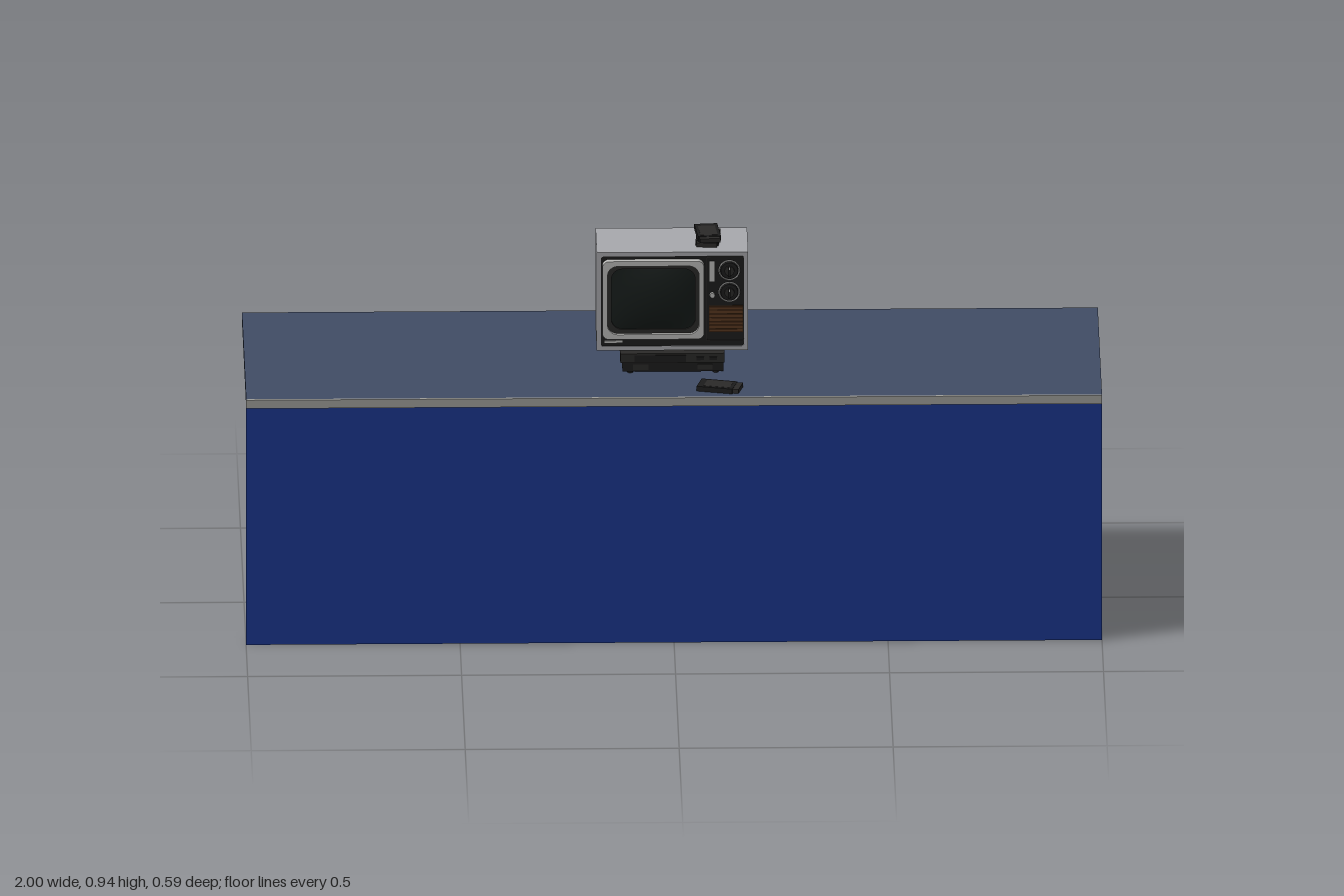
import * as THREE from 'three';
import { toCreasedNormals } from 'three/addons/utils/BufferGeometryUtils.js';

const mat = (color, side = THREE.FrontSide) => new THREE.MeshStandardMaterial({ color, side });
const blue = mat(0x1b378f), slate = mat(0x414d66), trim = mat(0xa0a09c), cabinetGrey = mat(0xa9aaae);
const black = mat(0x1c1c1c), charcoal = mat(0x2b2a29), silver = mat(0xbcbcba), glass = mat(0x161c1a);
const wood = mat(0x5a3820), darkWood = mat(0x38220f);

function add(parent, name, geometry, material, x = 0, y = 0, z = 0) {
  const mesh = new THREE.Mesh(geometry, material);
  mesh.name = name;
  mesh.position.set(x, y, z);
  parent.add(mesh);
  return mesh;
}

// Box given by its limits on each axis
function box(parent, name, material, x0, x1, y0, y1, z0, z1) {
  return add(parent, name, new THREE.BoxGeometry(x1 - x0, y1 - y0, z1 - z0), material,
    (x0 + x1) / 2, (y0 + y1) / 2, (z0 + z1) / 2);
}

// Rounded rectangle outline, centred on the origin
function roundRect(w, h, r, PathType = THREE.Shape) {
  const p = new PathType(), a = w / 2 - r, b = h / 2 - r;
  p.absarc(a, b, r, 0, Math.PI / 2);
  p.absarc(-a, b, r, Math.PI / 2, Math.PI);
  p.absarc(-a, -b, r, Math.PI, Math.PI * 1.5);
  p.absarc(a, -b, r, Math.PI * 1.5, Math.PI * 2);
  p.closePath();
  return p;
}

// Flat frame with a rounded opening
function frame(w, h, r, iw, ih, ir, depth) {
  const shape = roundRect(w, h, r);
  shape.holes.push(roundRect(iw, ih, ir, THREE.Path));
  return new THREE.ExtrudeGeometry(shape, { depth, bevelEnabled: false, curveSegments: 6 });
}

// Loft through rounded rectangles [w, h, r, y, z], listed front to back, closed at the back
function loft(sections) {
  const pos = [], index = [], n = 24;
  for (const [w, h, r, y, z] of sections) {
    for (let i = 0; i < n; i++) {
      const q = Math.floor(i / 6), a = (q + (i % 6) / 5) * Math.PI / 2;
      const sx = q === 0 || q === 3 ? 1 : -1, sy = q < 2 ? 1 : -1;
      pos.push(sx * (w / 2 - r) + r * Math.cos(a), y + sy * (h / 2 - r) + r * Math.sin(a), z);
    }
  }
  for (let s = 0; s < sections.length - 1; s++) {
    for (let i = 0; i < n; i++) {
      const a = s * n + i, b = s * n + (i + 1) % n;
      index.push(a, a + n, b, b, a + n, b + n);
    }
  }
  const last = (sections.length - 1) * n;
  for (let i = 1; i < n - 1; i++) index.push(last, last + i + 1, last + i);
  const g = new THREE.BufferGeometry();
  g.setAttribute('position', new THREE.Float32BufferAttribute(pos, 3));
  g.setIndex(index);
  return toCreasedNormals(g, 0.5);
}

// Cassette lying flat, long along z, with a narrower grip and a raised rim
function cartridge(name, x, y, z, angle) {
  const g = new THREE.Group();
  g.name = name;
  box(g, 'cartridgeShell', black, -0.027, 0.027, 0, 0.012, -0.05, 0.036);
  box(g, 'cartridgeGrip', charcoal, -0.024, 0.024, 0.001, 0.011, 0.036, 0.05);
  box(g, 'cartridgeLabel', charcoal, -0.02, 0.02, 0.012, 0.0125, -0.035, 0.028);
  g.position.set(x, y, z);
  g.rotation.y = angle;
  return g;
}

function createDesk() {
  const g = new THREE.Group();
  g.name = 'desk';
  box(g, 'deskTop', slate, -1, 1, 0.592, 0.612, -0.297, 0.29);
  box(g, 'frontEdgeTrim', trim, -1, 1, 0.592, 0.613, 0.29, 0.297);
  box(g, 'frontPanel', blue, -1, 1, 0, 0.592, 0.258, 0.287);
  return g;
}

function createConsole() {
  const g = new THREE.Group();
  g.name = 'console';
  box(g, 'consoleBase', black, -0.118, 0.118, 0.617, 0.64, -0.045, 0.13);
  box(g, 'consoleLid', charcoal, -0.123, 0.121, 0.64, 0.663, -0.045, 0.134);
  box(g, 'consoleDoor', black, -0.09, 0.03, 0.643, 0.659, 0.134, 0.136);
  for (const x of [0.055, 0.085]) box(g, 'consoleButton', black, x, x + 0.018, 0.647, 0.655, 0.134, 0.137);
  for (const x of [-0.075, 0.075]) box(g, 'controllerPort', charcoal, x - 0.018, x + 0.018, 0.622, 0.635, 0.13, 0.132);
  for (const x of [-0.1, 0.1]) for (const z of [-0.033, 0.118])
    add(g, 'consoleFoot', new THREE.CylinderGeometry(0.007, 0.007, 0.006, 12), black, x, 0.6145, z);
  return g;
}

function createTelevision() {
  const g = new THREE.Group();
  g.name = 'television';
  const midY = 0.79;

  // Cabinet with a raised rim around the dark front
  box(g, 'cabinet', cabinetGrey, -0.178, 0.176, 0.668, 0.912, -0.04, 0.118);
  add(g, 'frontRim', frame(0.354, 0.244, 0.001, 0.334, 0.224, 0.006, 0.008), cabinetGrey, -0.001, midY, 0.117);
  box(g, 'frontPanel', black, -0.17, 0.168, 0.676, 0.904, 0.116, 0.122);
  add(g, 'rearHousing', loft([
    [0.292, 0.207, 0.014, 0.791, -0.039],
    [0.288, 0.203, 0.014, 0.792, -0.044],
    [0.198, 0.137, 0.014, 0.798, -0.131],
    [0.19, 0.129, 0.012, 0.798, -0.135],
  ]), charcoal);

  // Screen surround and bulging glass
  const sx = -0.046, sy = 0.797;
  add(g, 'screenSurround', frame(0.238, 0.194, 0.016, 0.214, 0.17, 0.024, 0.017), silver, sx, sy, 0.121);
  add(g, 'screenInnerBezel', frame(0.216, 0.172, 0.02, 0.196, 0.15, 0.026, 0.008), charcoal, sx, sy, 0.121);
  const screen = new THREE.PlaneGeometry(0.2, 0.156, 12, 10), p = screen.attributes.position;
  for (let i = 0; i < p.count; i++) {
    const u = p.getX(i) / 0.1, v = p.getY(i) / 0.078;
    p.setZ(i, 0.01 * (1 - u * u) * (1 - v * v));
  }
  screen.computeVertexNormals();
  add(g, 'screen', screen, glass, sx, sy, 0.1245);
  box(g, 'trimStrip', silver, -0.16, -0.118, 0.687, 0.692, 0.122, 0.124);

  // Tuning knobs: ring, dial and grip
  add(g, 'controlPanel', frame(0.09, 0.21, 0.004, 0.086, 0.206, 0.003, 0.003), charcoal, 0.123, 0.796, 0.122);
  for (const y of [0.866, 0.812]) {
    const knob = new THREE.Group();
    knob.name = 'tuningKnob';
    add(knob, 'knobRing', new THREE.TorusGeometry(0.0235, 0.0018, 6, 32), silver, 0, 0, 0.002);
    for (const [name, r, d, m] of [['knobDial', 0.021, 0.006, black], ['knobHub', 0.012, 0.01, charcoal]])
      add(knob, name, new THREE.CylinderGeometry(r * 0.95, r, d, 28), m, 0, 0, d / 2).rotation.x = Math.PI / 2;
    box(knob, 'knobGrip', black, -0.003, 0.003, -0.012, 0.012, 0.009, 0.014);
    box(knob, 'knobPointer', silver, -0.001, 0.001, 0.005, 0.011, 0.014, 0.0145);
    knob.position.set(0.132, y, 0.122);
    g.add(knob);
  }
  box(g, 'channelStrip', silver, 0.085, 0.097, 0.838, 0.888, 0.122, 0.125);
  add(g, 'powerKnob', new THREE.CylinderGeometry(0.006, 0.006, 0.01, 16), silver, 0.092, 0.805, 0.126).rotation.x = Math.PI / 2;

  // Slatted speaker grille
  box(g, 'speakerBack', darkWood, 0.084, 0.164, 0.712, 0.778, 0.122, 0.124);
  for (let i = 0; i < 7; i++) {
    const y = 0.7135 + i * 0.0093;
    box(g, 'speakerSlat', wood, 0.085, 0.163, y, y + 0.0065, 0.124, 0.127);
  }
  return g;
}

export function createModel() {
  const model = new THREE.Group();
  model.name = 'televisionOnDesk';
  model.add(createDesk(), createConsole(), createTelevision());

  // Two cartridges stacked on the cabinet and one on the desk
  model.add(cartridge('lowerCartridge', 0.083, 0.912, 0.046, -0.07));
  model.add(cartridge('upperCartridge', 0.083, 0.926, 0.053, 0.09));
  model.add(cartridge('deskCartridge', 0.108, 0.612, 0.236, Math.PI / 2 - 0.25));
  return model;
}
